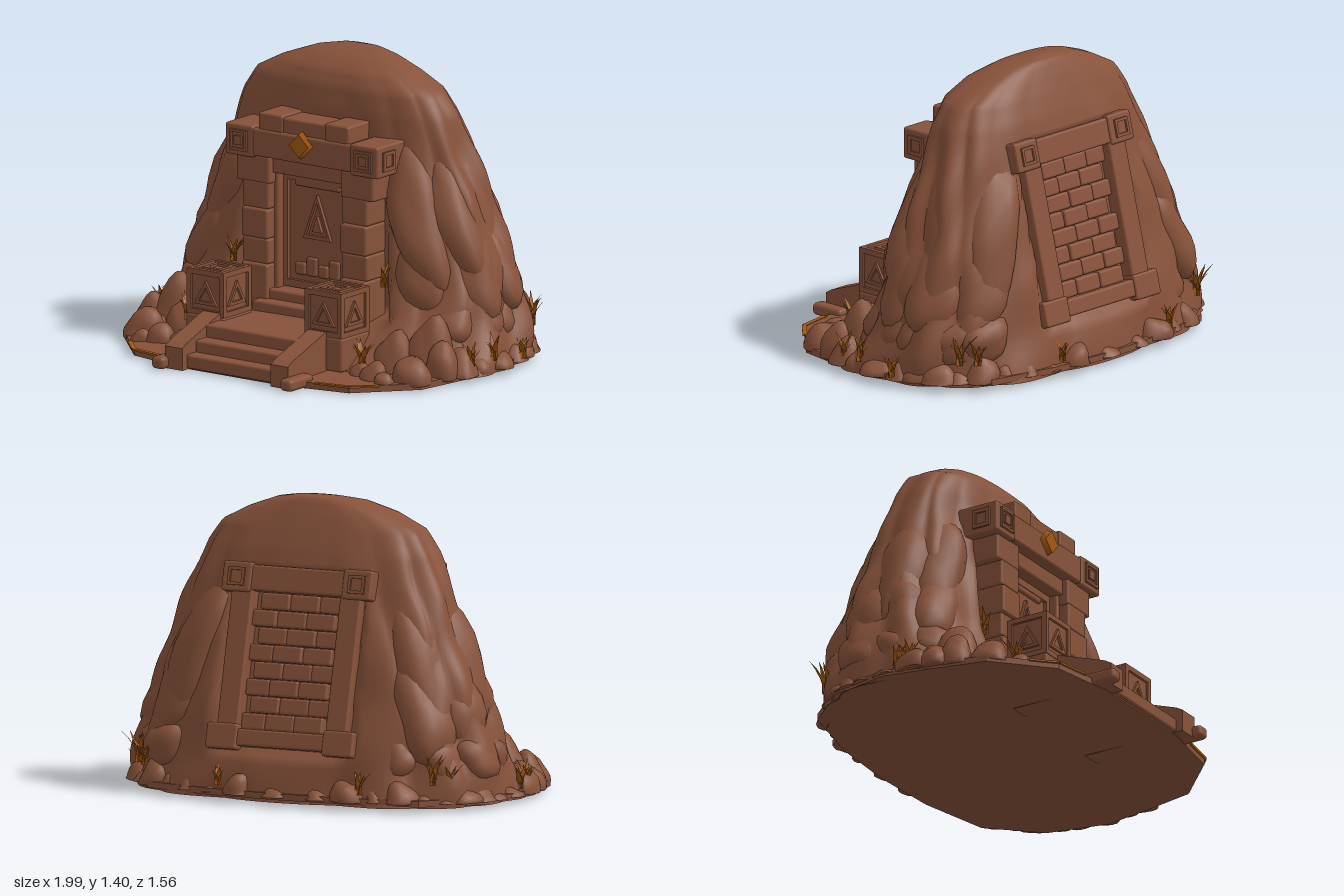
import * as THREE from 'three';
import { mergeVertices } from 'three/addons/utils/BufferGeometryUtils.js';
import { RoundedBoxGeometry } from 'three/addons/geometries/RoundedBoxGeometry.js';

const stone = new THREE.MeshStandardMaterial({ color: 0x87523a });
stone.name = 'brown stone';
const amber = new THREE.MeshStandardMaterial({ color: 0xa25a10, side: THREE.DoubleSide });
amber.name = 'amber';

let seed = 7;
const rnd = () => (seed = (seed * 16807) % 2147483647) / 2147483647;
const range = (a, b) => a + (b - a) * rnd();
const groundY = z => 0.035 * (0.78 - z) / 1.56;

function add(parent, name, geo, x = 0, y = 0, z = 0, mat = stone) {
  const m = new THREE.Mesh(geo, mat);
  m.name = name;
  m.position.set(x, y, z);
  parent.add(m);
  return m;
}
// Softly worn block given by its extents
function block(parent, name, x0, x1, y0, y1, z0, z1, r = 0.012) {
  const g = new RoundedBoxGeometry(x1 - x0, y1 - y0, z1 - z0, 2, r);
  return add(parent, name, g, (x0 + x1) / 2, (y0 + y1) / 2, (z0 + z1) / 2);
}
// Raised outline of a regular polygon: sides 4 gives a square, 3 a triangle
function relief(parent, name, sides, r, width, x, y, z, sx = 1, sy = 1, depth = 0.014) {
  const ring = q => Array.from({ length: sides }, (_, i) => {
    const a = (sides === 4 ? Math.PI / 4 : Math.PI / 2) + i * 2 * Math.PI / sides;
    return new THREE.Vector2(Math.cos(a) * q * sx, Math.sin(a) * q * sy);
  });
  const s = new THREE.Shape(ring(r));
  if (width < r) s.holes.push(new THREE.Path(ring(r - width)));
  return add(parent, name, new THREE.ExtrudeGeometry(s, { depth, bevelEnabled: false }), x, y, z);
}

// Mound outline by height: y, half width, front z, back z
const levels = [
  [0.02, 0.94, 0.45, -0.73], [0.12, 0.92, 0.32, -0.71], [0.25, 0.885, 0.2, -0.68],
  [0.4, 0.845, 0.13, -0.645], [0.6, 0.785, 0.085, -0.6], [0.8, 0.71, 0.045, -0.545],
  [1.0, 0.63, 0.01, -0.49], [1.15, 0.57, -0.005, -0.445], [1.25, 0.505, -0.025, -0.405],
  [1.32, 0.37, -0.065, -0.375], [1.37, 0.23, -0.14, -0.35], [1.39, 0.12, -0.22, -0.335]];
function moundPoint(t, y) {
  let i = 0;
  while (i < levels.length - 2 && y > levels[i + 1][0]) i++;
  const k = (y - levels[i][0]) / (levels[i + 1][0] - levels[i][0]);
  const [, a, f, b] = levels[i].map((v, n) => v + (levels[i + 1][n] - v) * k);
  const c = Math.cos(t), s = Math.sin(t), p = v => Math.sign(v) * Math.abs(v) ** 0.78;
  // Broad rounded columns, fading toward the crown
  const fade = Math.min(1, Math.max(0, (1.42 - y) * 2.2));
  const lobes = 0.045 * Math.abs(Math.sin(t * 7 + 0.5 * Math.sin(4 * y)))
    + 0.012 * Math.sin(y * 17 + t * 5) + 0.01 * Math.sin(t * 11 - y * 9) - 0.025;
  const m = 1 + lobes * fade;
  const x = a * p(c) * m;
  let z = (f + b) / 2 + (f - b) / 2 * p(s) * m;
  // Hollow behind the doorway and behind the back gate
  if (y > 0.2 && y < 1.1) z = Math.min(z, Math.max(0, Math.abs(x) - 0.38) * 1.3);
  if (y > 0.24 && y < 1.06) z = Math.max(z, -0.625 + 0.25 * (y - 0.24) - Math.max(0, Math.abs(x) - 0.32) * 1.5);
  return new THREE.Vector3(x, y, z);
}
function moundGeometry() {
  const rows = 44, cols = 144, pos = [], idx = [];
  for (let i = 0; i <= rows + 1; i++) for (let j = 0; j < cols; j++) {
    if (i > rows) { pos.push(0, 1.4, -0.29); continue; }
    const u = i / rows, y = 0.02 + 1.37 * (1 - (1 - u) ** 1.35);
    pos.push(...moundPoint(j / cols * 2 * Math.PI, y).toArray());
  }
  for (let i = 0; i <= rows; i++) for (let j = 0; j < cols; j++) {
    const a = i * cols + j, b = i * cols + (j + 1) % cols;
    idx.push(a, a + cols, b, b, a + cols, b + cols);
  }
  const g = new THREE.BufferGeometry();
  g.setAttribute('position', new THREE.Float32BufferAttribute(pos, 3));
  g.setIndex(idx);
  g.computeVertexNormals();
  return g;
}
// Lumpy rock, flattened at the ground; leanX and leanZ slant it with height
function rock(parent, name, x, y, z, rx, ry, rz, leanX = 0, leanZ = 0) {
  let g = new THREE.IcosahedronGeometry(1, 3);
  g.deleteAttribute('uv');
  g.deleteAttribute('normal');
  g = mergeVertices(g);
  const p = g.attributes.position, o = rnd() * 9;
  for (let i = 0; i < p.count; i++) {
    const a = p.getX(i), b = p.getY(i), c = p.getZ(i);
    const n = 0.96 + 0.1 * Math.sin(a * 3 + o) * Math.cos(c * 3 + o) + 0.06 * Math.sin(b * 5 + a * 2 + o);
    const h = Math.max(b * n * ry, groundY(z) + 0.012 - y);
    p.setXYZ(i, a * n * rx + leanX * h, h, c * n * rz + leanZ * h);
  }
  g.computeVertexNormals();
  return add(parent, name, g, x, y, z);
}
// Tuft of curved, pointed flat blades
function tuft(parent, x, y, z, h) {
  const t = new THREE.Group();
  t.name = 'grassTuft';
  t.position.set(x, y, z);
  for (let i = 0; i < 8; i++) {
    const len = h * range(0.7, 1.1), g = new THREE.PlaneGeometry(0.032, len, 1, 4);
    g.translate(0, len / 2, 0);
    const p = g.attributes.position, lean = range(0.2, 0.65);
    for (let k = 0; k < p.count; k++) {
      const v = p.getY(k) / len;
      p.setXYZ(k, p.getX(k) * (1.02 - v * v), p.getY(k), lean * len * v * v);
    }
    g.computeVertexNormals();
    add(t, 'blade', g, 0, 0, 0, amber).rotation.y = i * 0.8 + rnd();
  }
  parent.add(t);
}
// Carved cube standing beside the stairs
function guardStone(parent, x) {
  const g = new THREE.Group();
  g.name = 'guardStone';
  g.position.set(x, 0, 0.335);
  block(g, 'core', -0.095, 0.095, 0.18, 0.4, -0.095, 0.095);
  block(g, 'foot', -0.11, 0.11, 0.04, 0.2, -0.11, 0.11);
  for (let i = 0; i < 4; i++) {
    const side = new THREE.Group();
    side.name = 'carvedSide';
    side.rotation.y = i * Math.PI / 2;
    relief(side, 'border', 4, 0.15, 0.035, 0, 0.305, 0.093);
    relief(side, 'triangle', 3, 0.075, 0.03, 0, 0.285, 0.093);
    g.add(side);
  }
  relief(g, 'topBorder', 4, 0.148, 0.03, 0, 0.398, 0).rotation.x = -Math.PI / 2;
  relief(g, 'topSquare', 4, 0.08, 0.03, 0, 0.398, 0).rotation.x = -Math.PI / 2;
  parent.add(g);
}
function doorway(parent) {
  const d = new THREE.Group();
  d.name = 'doorway';
  block(d, 'doorSlab', -0.2, 0.2, 0.26, 0.86, -0.05, 0.03);
  relief(d, 'doorBorder', 4, 0.27, 0.035, 0, 0.56, 0.028, 1, 1.42, 0.02);
  relief(d, 'doorTriangle', 3, 0.14, 0.035, 0, 0.6, 0.028, 0.65, 1, 0.02);
  relief(d, 'innerTriangle', 3, 0.05, 0.05, 0, 0.59, 0.028, 0.65, 1, 0.02);
  block(d, 'doorBand', -0.13, 0.13, 0.77, 0.81, 0.02, 0.045);
  for (let i = 0; i < 4; i++)
    block(d, 'doorRubble', -0.13 + i * 0.065, -0.07 + i * 0.065, 0.35, 0.41 + 0.03 * (i % 2), 0.02, 0.045);
  block(d, 'header', -0.25, 0.25, 0.83, 0.91, -0.05, 0.11);
  for (const s of [-1, 1]) {
    // Stacked pillar stones
    [0.2, 0.4, 0.52, 0.66, 0.79].forEach((y, i, l) => {
      if (i < 4) block(d, 'pillarStone', s * 0.285 - 0.075, s * 0.285 + 0.075, y, l[i + 1], -0.06, i % 2 ? 0.14 : 0.15);
    });
    block(d, 'innerJamb', s * 0.215 - 0.025, s * 0.215 + 0.025, 0.25, 0.86, -0.05, 0.09);
    block(d, 'capital', s * 0.3 - 0.095, s * 0.3 + 0.095, 0.78, 0.91, -0.06, 0.14);
    block(d, 'lintelEnd', s * 0.36 - 0.08, s * 0.36 + 0.08, 0.9, 1.05, -0.05, 0.165);
    relief(d, 'lintelSquare', 4, 0.07, 0.018, s * 0.36, 0.975, 0.162);
    relief(d, 'lintelCore', 4, 0.03, 0.03, s * 0.36, 0.975, 0.162);
    relief(d, 'lintelSideSquare', 4, 0.065, 0.025, s * 0.435, 0.975, 0.08).rotation.y = s * Math.PI / 2;
    block(d, 'crestStone', s * 0.19 - 0.07, s * 0.19 + 0.07, 1.03, 1.12, -0.05, 0.15);
  }
  block(d, 'lintel', -0.3, 0.3, 0.91, 1.04, -0.05, 0.16);
  block(d, 'crest', -0.13, 0.13, 1.03, 1.11, -0.05, 0.14);
  // Flat diamond with a bevelled rim
  const gem = new THREE.CylinderGeometry(0.055, 0.066, 0.03, 4);
  gem.rotateX(Math.PI / 2);
  add(d, 'gem', gem, 0, 1.0, 0.17, amber);
  parent.add(d);
}
function stairs(parent) {
  const g = new THREE.Group();
  g.name = 'stairs';
  block(g, 'platform', -0.27, 0.27, 0.02, 0.19, -0.05, 0.55);
  block(g, 'middleStep', -0.27, 0.27, 0.015, 0.13, 0.4, 0.63);
  block(g, 'lowerStep', -0.27, 0.27, 0.01, 0.075, 0.5, 0.7);
  block(g, 'doorStep', -0.26, 0.26, 0.15, 0.24, -0.05, 0.2);
  block(g, 'threshold', -0.23, 0.23, 0.2, 0.285, -0.05, 0.13);
  // Sloping side walls with end stones
  const wall = new THREE.Shape([[0.2, 0.01], [0.735, 0.005], [0.735, 0.11], [0.7, 0.13], [0.45, 0.22], [0.2, 0.22]]
    .map(p => new THREE.Vector2(...p)));
  for (const s of [-1, 1]) {
    const w = new THREE.ExtrudeGeometry(wall, { depth: 0.1, bevelEnabled: false });
    add(g, 'sideWall', w, s * 0.305 + 0.05).rotation.y = -Math.PI / 2;
    block(g, 'endStone', s * 0.37 - 0.035, s * 0.37 + 0.035, 0.004, 0.062, 0.6, 0.78, 0.02);
  }
  parent.add(g);
}
// Walled-up gate leaning against the back
function backGate(parent) {
  const g = new THREE.Group();
  g.name = 'backGate';
  g.position.set(0, 0.26, -0.665);
  g.rotation.set(-0.245, Math.PI, 0, 'YXZ');
  for (let r = 0; r < 8; r++) for (let c = 0; c < 3; c++) {
    const w = 0.15, x = -0.225 + c * w + (r % 2 ? 0.03 : -0.03);
    block(g, 'brick', Math.max(x, -0.23), Math.min(x + w, 0.23), 0.08 + r * 0.08, 0.158 + r * 0.08, -0.06, range(-0.02, 0));
  }
  for (const s of [-1, 1]) {
    block(g, 'gatePillar', s * 0.28 - 0.055, s * 0.28 + 0.055, 0.06, 0.75, -0.1, 0.025);
    block(g, 'pillarFoot', s * 0.3 - 0.08, s * 0.3 + 0.08, -0.02, 0.1, -0.1, 0.035);
    block(g, 'cornerStone', s * 0.31 - 0.075, s * 0.31 + 0.075, 0.71, 0.85, -0.1, 0.035);
    relief(g, 'cornerSquare', 4, 0.06, 0.02, s * 0.31, 0.78, 0.03);
  }
  block(g, 'gateLintel', -0.27, 0.27, 0.72, 0.84, -0.1, 0.025);
  block(g, 'gateSill', -0.25, 0.25, 0, 0.08, -0.1, 0.025);
  parent.add(g);
}

export function createModel() {
  seed = 7;
  const root = new THREE.Group();
  root.name = 'rockShrine';
  add(root, 'mound', moundGeometry());

  // Ground slab, tilted slightly up toward the back
  const edge = [[-0.3, 0.68], [0.3, 0.68], [0.45, 0.65], [0.62, 0.62], [0.72, 0.52], [0.86, 0.38], [0.92, 0.1], [0.96, -0.12],
    [0.9, -0.42], [0.7, -0.65], [0.35, -0.73], [0, -0.75], [-0.35, -0.73], [-0.7, -0.65], [-0.9, -0.42],
    [-0.96, -0.12], [-0.92, 0.1], [-0.86, 0.38], [-0.72, 0.52], [-0.62, 0.62], [-0.45, 0.65]];
  const slab = new THREE.ExtrudeGeometry(new THREE.Shape(edge.map(([x, z]) => new THREE.Vector2(x, -z))),
    { depth: 0.03, bevelEnabled: false });
  slab.rotateX(-Math.PI / 2);
  const p = slab.attributes.position;
  for (let i = 0; i < p.count; i++) p.setY(i, p.getY(i) + groundY(p.getZ(i)));
  add(root, 'ground', slab);
  // Thin amber rim along the front corners of the ground
  for (const s of [-1, 1]) for (let i = 2; i < 4; i++) {
    const [x0, z0] = edge[i], [x1, z1] = edge[i + 1];
    const strip = new THREE.BoxGeometry(Math.hypot(x1 - x0, z1 - z0), 0.009, 0.022);
    add(root, 'mossRim', strip, s * (x0 + x1) / 2, 0.033, (z0 + z1) / 2, amber).rotation.y = -s * Math.atan2(z1 - z0, x1 - x0);
  }

  // Rock columns sunk into the flanks and back, following their slope
  for (const [h, n, r] of [[0.36, 20, 0.13], [0.68, 16, 0.14], [1.04, 13, 0.14]])
    for (let i = 0; i < n; i++) {
      const t = (i + range(0.2, 0.8)) / n * 2 * Math.PI, s = Math.sin(t), c = Math.abs(Math.cos(t));
      if ((s > 0 && c < 0.72) || (s < 0 && c < 0.58)) continue;
      const y = h * 0.66, q = moundPoint(t, y), top = moundPoint(t, h), k = 1 - r * 0.85 / Math.hypot(q.x, q.z + 0.2);
      rock(root, 'rockColumn', q.x * k, y, -0.2 + (q.z + 0.2) * k, r, h * 0.36, r,
        (top.x - q.x) / (h - y), (top.z - q.z) / (h - y));
    }
  // Boulders round the foot
  for (let i = 0; i < 40; i++) {
    const t = i / 40 * 2 * Math.PI, s = Math.sin(t), c = Math.cos(t);
    if (s > 0 && Math.abs(c) < 0.72) continue;
    const r = range(0.06, 0.095), x = 0.91 * Math.sign(c) * Math.abs(c) ** 0.8;
    const z = -0.13 + (s > 0 ? 0.6 : 0.57) * Math.sign(s) * Math.abs(s) ** 0.8;
    rock(root, 'footBoulder', x, r * 0.4, z, r, r * range(0.7, 1.5), r, -Math.sign(c) * 0.15);
  }
  for (const s of [-1, 1])
    for (const [x, z, r, h] of [[0.77, 0.34, 0.1, 0.13], [0.6, 0.24, 0.1, 0.2], [0.62, 0.42, 0.07, 0.09],
      [0.52, 0.4, 0.05, 0.07], [0.7, 0.46, 0.05, 0.06], [0.74, 0.14, 0.12, 0.27], [0.84, 0.2, 0.08, 0.17]])
      rock(root, 'frontBoulder', s * x, 0.03, z, r, h, r);

  doorway(root);
  stairs(root);
  guardStone(root, -0.345);
  guardStone(root, 0.335);
  backGate(root);

  for (const [x, y, z, h] of [[-0.44, 0.38, 0.1, 0.12], [0.43, 0.38, 0.1, 0.11], [-0.53, 0.13, 0.33, 0.12],
    [0.53, 0.08, 0.4, 0.11], [-0.93, 0.06, 0.0, 0.13], [-0.93, 0.06, -0.07, 0.11], [0.92, 0.06, 0.08, 0.12],
    [0.95, 0.08, -0.05, 0.12], [-0.74, 0.13, -0.58, 0.14], [-0.8, 0.11, -0.52, 0.11], [0.8, 0.13, -0.54, 0.14],
    [0.74, 0.13, -0.6, 0.13], [0.96, 0.05, -0.26, 0.1], [0.3, 0.08, -0.72, 0.1], [-0.42, 0.08, -0.71, 0.1]])
    tuft(root, x, y, z, h);
  return root;
}
